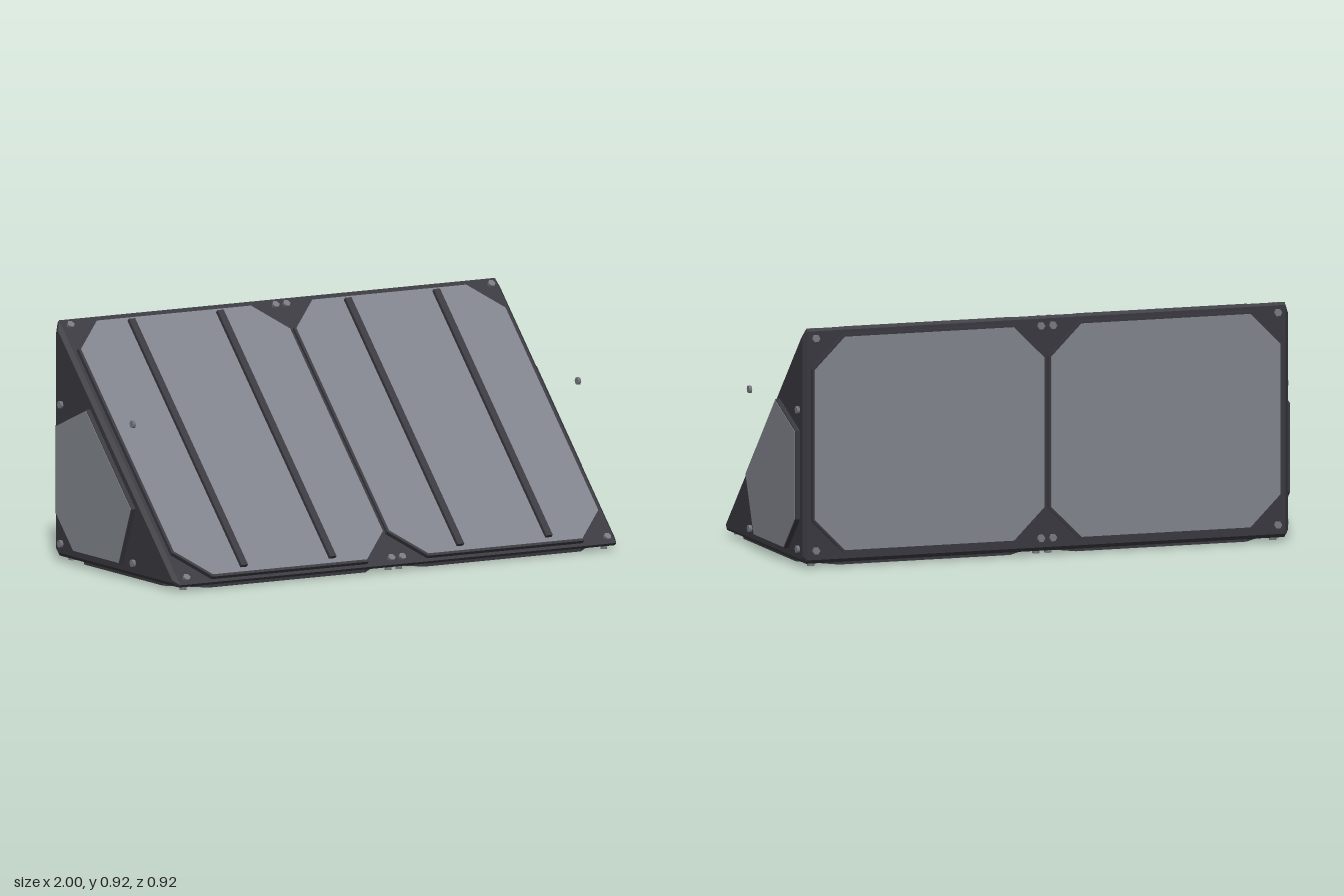
import * as THREE from 'three';
import { ConvexGeometry } from 'three/addons/geometries/ConvexGeometry.js';

const frameMat = new THREE.MeshStandardMaterial({ name: 'dark frame', color: 0x38373e });
const panelMat = new THREE.MeshStandardMaterial({ name: 'grey panel', color: 0x80838b });
const boltMat = new THREE.MeshStandardMaterial({ name: 'bolt steel', color: 0x777981 });

function add(parent, name, geometry, material, x = 0, y = 0, z = 0) {
  const mesh = new THREE.Mesh(geometry, material);
  mesh.name = name;
  mesh.position.set(x, y, z);
  parent.add(mesh);
  return mesh;
}

// Flat plate from outline points, from height z0 to z1
function plate(points, z0, z1) {
  const shape = new THREE.Shape(points.map(([x, y]) => new THREE.Vector2(x, y)));
  const geometry = new THREE.ExtrudeGeometry(shape, { depth: z1 - z0, bevelEnabled: false });
  return geometry.translate(0, 0, z0);
}

// Rectangle with 45 degree corner cuts
function octagon(x0, x1, y0, y1, c) {
  return [[x0 + c, y0], [x1 - c, y0], [x1, y0 + c], [x1, y1 - c],
    [x1 - c, y1], [x0 + c, y1], [x0, y1 - c], [x0, y0 + c]];
}

function bolt(parent, x, y, z) {
  const geometry = new THREE.CylinderGeometry(0.015, 0.015, 0.012, 6);
  geometry.rotateY(Math.PI / 6).rotateX(Math.PI / 2);
  add(parent, 'bolt', geometry, boltMat, x, y, z);
}

// A long face: two cut-corner panels side by side, with corner bolts
function panelPair(name, length, height) {
  const face = new THREE.Group();
  face.name = name;
  for (const side of [-1, 1]) {
    const inner = side > 0 ? 0.004 : -0.95, outer = side > 0 ? 0.95 : -0.004;
    const i = 0.01;
    add(face, 'panelRim', plate(octagon(inner, outer, 0, length, 0.128), -0.005, height - 0.002), frameMat);
    add(face, 'panel', plate(octagon(inner + i, outer - i, i, length - i, 0.122), height - 0.006, height), panelMat);
    for (const x of [0.024, 0.932])
      for (const y of [0.012, length - 0.012]) bolt(face, side * x, y, height - 0.008);
  }
  return face;
}

// An end face: six-sided panel with four bolts
function endFace(side) {
  const face = new THREE.Group();
  face.name = side > 0 ? 'leftEnd' : 'rightEnd';
  let outline = [[-0.18, 0.612], [-0.4, 0.523], [-0.4, 0.188], [-0.273, 0.061], [0.06, 0.061], [0.15, 0.28]];
  outline = outline.map(([z, y]) => [-side * z, y]);
  const cx = side * 0.14, cy = 0.31;
  const rim = outline.map(([x, y]) => [cx + (x - cx) * 1.015, cy + (y - cy) * 1.015]);
  add(face, 'endPanelRim', plate(rim, -0.005, 0.018), frameMat);
  add(face, 'endPanel', plate(outline, 0.014, 0.02), panelMat);
  for (const z of [-0.391, 0.143])
    for (const y of [0.07, 0.605]) bolt(face, -side * z, y, 0.006);
  face.rotation.y = side * Math.PI / 2;
  face.position.x = side * 0.98;
  return face;
}

export function createModel() {
  const model = new THREE.Group();
  model.name = 'wedgeBlock';

  // Wedge body with chamfered ends, as [z, y] section
  const section = [[0.46, 0.028], [0.45, 0.018], [-0.43, 0.018], [-0.445, 0.033], [-0.445, 0.912], [-0.434, 0.922]];
  const corners = [];
  for (const [x, s] of [[0.965, 1], [0.98, 0.945]])
    for (const side of [-1, 1])
      for (const [z, y] of section)
        corners.push(new THREE.Vector3(side * x, 0.285 + (y - 0.285) * s, -0.18 + (z + 0.18) * s));
  add(model, 'wedgeBody', new ConvexGeometry(corners), frameMat);

  // Sloping front with raised ribs
  const slope = panelPair('slopeFace', 1.23, 0.018);
  slope.rotation.x = -Math.PI / 4;
  slope.position.set(0, 0.038, 0.45);
  for (const x of [-0.675, -0.283, 0.283, 0.675])
    add(slope, 'rib', new THREE.BoxGeometry(0.028, 1.175, 0.018), frameMat, x, 0.617, 0.023);

  // Upright back
  const back = panelPair('backFace', 0.84, 0.015);
  back.rotation.y = Math.PI;
  back.position.set(0, 0.057, -0.445);

  // Underside
  const base = panelPair('baseFace', 0.84, 0.016);
  base.rotation.x = Math.PI / 2;
  base.position.set(0, 0.018, -0.405);

  model.add(slope, back, base, endFace(1), endFace(-1));
  return model;
}
